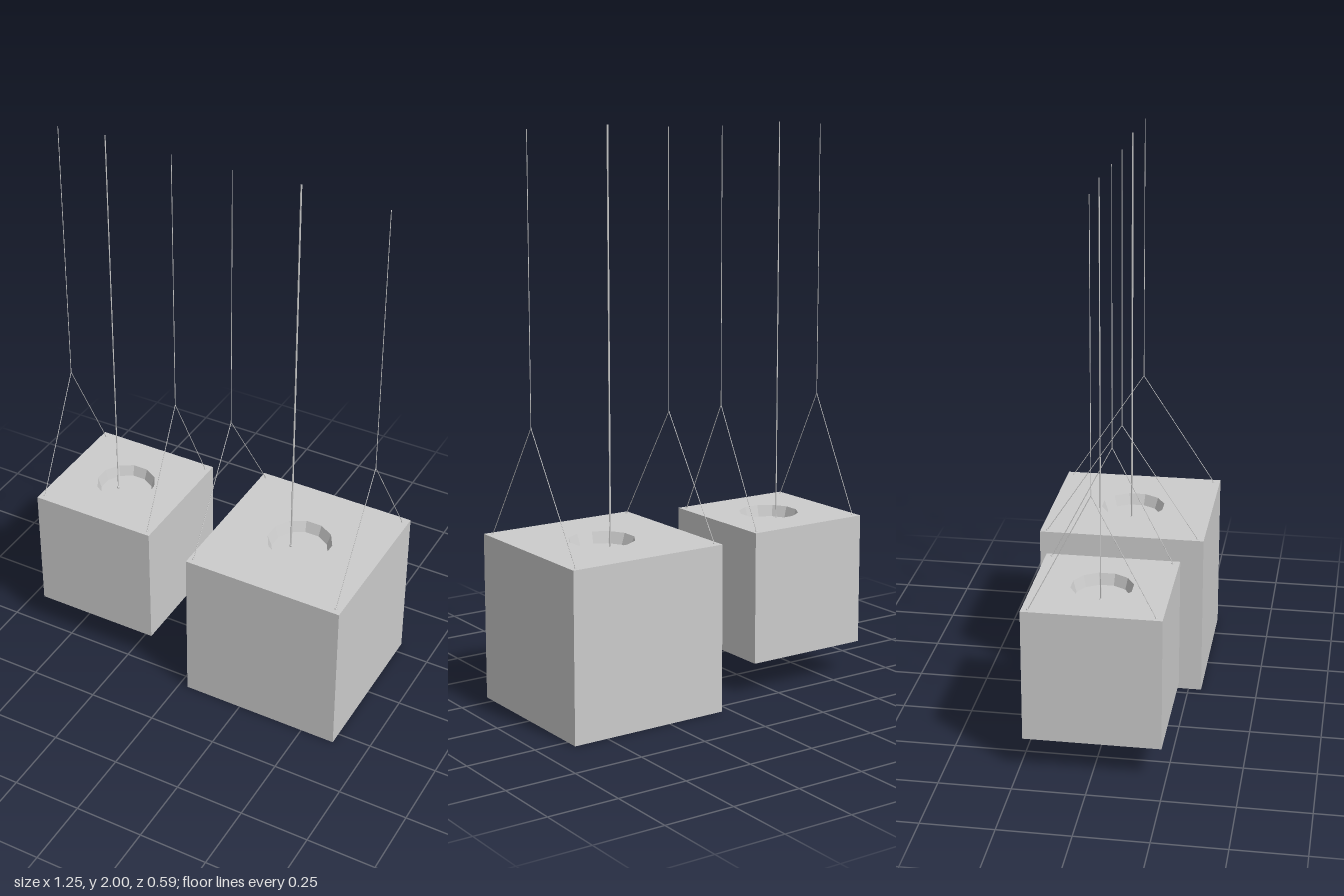
import * as THREE from 'three';

const grey = new THREE.MeshStandardMaterial({ color: 0xcccccc, flatShading: true, side: THREE.DoubleSide });
const TOP = 0.595; // shared height of both box tops
const SINK = 0.04; // depth of the round recess

function add(group, name, geometry) {
  const mesh = new THREE.Mesh(geometry, grey);
  mesh.name = name;
  group.add(mesh);
  return mesh;
}

// Straight thin cylinder between two points
function wire(group, name, a, b, radius) {
  const from = new THREE.Vector3(...a), to = new THREE.Vector3(...b);
  const dir = to.clone().sub(from);
  const mesh = add(group, name, new THREE.CylinderGeometry(radius, radius, dir.length(), 6));
  mesh.position.copy(from).add(to).multiplyScalar(0.5);
  mesh.quaternion.setFromUnitVectors(new THREE.Vector3(0, 1, 0), dir.normalize());
}

// Square slab with a tapering twelve-sided hole
function slabGeometry(size, rTop, rBottom) {
  const h = size / 2;
  const shape = new THREE.Shape([[-h, -h], [h, -h], [h, h], [-h, h]].map(p => new THREE.Vector2(...p)));
  const rim = [];
  for (let i = 0; i < 12; i++) {
    const a = -(i + 0.5) * Math.PI / 6;
    rim.push(new THREE.Vector2(Math.cos(a) * rTop, Math.sin(a) * rTop));
  }
  shape.holes.push(new THREE.Path(rim));
  const geo = new THREE.ExtrudeGeometry(shape, { depth: SINK, bevelEnabled: false });
  const pos = geo.attributes.position;
  for (let i = 0; i < pos.count; i++) {
    const x = pos.getX(i), y = pos.getY(i);
    if (pos.getZ(i) < SINK / 2 && Math.hypot(x, y) < rTop * 1.05) {
      pos.setXY(i, x * rBottom / rTop, y * rBottom / rTop);
    }
  }
  geo.rotateX(-Math.PI / 2);
  geo.computeVertexNormals();
  return geo;
}

function hangingBox({ name, x, size, rTop, rBottom, slingX, slingZ, cordX, cordRadius }) {
  const group = new THREE.Group();
  group.name = name;

  // Solid body and recessed top
  const height = size - SINK;
  add(group, 'body', new THREE.BoxGeometry(size, height, size)).position.set(x, TOP - SINK - height / 2, 0);
  add(group, 'recessedTop', slabGeometry(size, rTop, rBottom)).position.set(x, TOP - SINK, 0);

  // Central cord reaching into the recess
  wire(group, 'centralCord', [cordX, TOP - SINK, 0], [cordX, 2, 0], cordRadius);
  add(group, 'cordEnd', new THREE.SphereGeometry(0.006, 8, 6)).position.set(cordX, TOP - SINK + 0.004, 0);

  // Side slings: two slanted wires meeting under one vertical wire
  for (const sx of slingX) {
    const apex = [sx, 1.012, 0];
    for (const z of [-slingZ, slingZ]) {
      wire(group, 'slingWire', [sx, TOP, z], apex, 0.0013);
      add(group, 'anchor', new THREE.SphereGeometry(0.005, 8, 6)).position.set(sx, TOP, z);
    }
    wire(group, 'hangingWire', apex, [sx, 1.99, 0], 0.0013);
  }
  return group;
}

export function createModel() {
  const model = new THREE.Group();
  model.name = 'hangingBoxes';
  model.add(
    hangingBox({
      name: 'smallBox', x: -0.39, size: 0.472, rTop: 0.108, rBottom: 0.096,
      slingX: [-0.608, -0.174], slingZ: 0.213, cordX: -0.424, cordRadius: 0.002,
    }),
    hangingBox({
      name: 'largeBox', x: 0.329, size: 0.593, rTop: 0.117, rBottom: 0.102,
      slingX: [0.05, 0.603], slingZ: 0.273, cordX: 0.295, cordRadius: 0.003,
    }),
  );
  return model;
}
